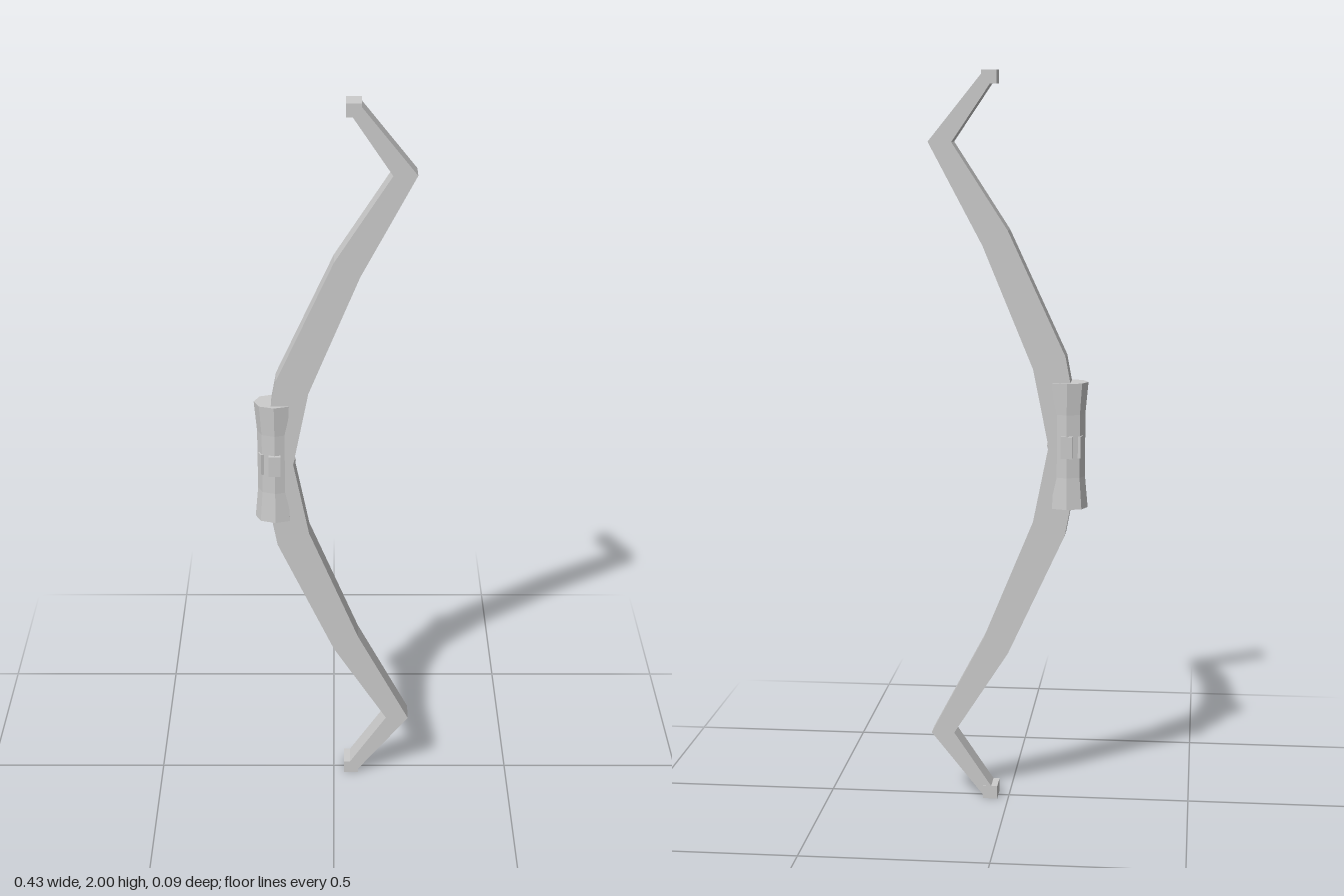
import * as THREE from 'three';

const material = new THREE.MeshStandardMaterial({ color: 0xcccccc, flatShading: true });

function add(group, name, geometry, x = 0, y = 0, z = 0) {
  const mesh = new THREE.Mesh(geometry, material);
  mesh.name = name;
  mesh.position.set(x, y, z);
  group.add(mesh);
  return mesh;
}

const toShape = (points) => new THREE.Shape(points.map(([x, y]) => new THREE.Vector2(x, y)));
const mirrorY = (points, axis) => points.map(([x, y]) => [x, 2 * axis - y]).reverse();

export function createModel() {
  const bow = new THREE.Group();
  bow.name = 'bow';

  // Recurved stave: upper half outline, mirrored about mid height
  const inner = [[-0.11, 1], [-0.068, 1.21], [0.068, 1.54], [0.213, 1.813], [0.07, 1.99]];
  const outer = [[0.045, 1.967], [0.15, 1.812], [0, 1.58], [-0.155, 1.245], [-0.17, 1.165]];
  const upper = [...inner, ...outer];
  const stave = new THREE.ExtrudeGeometry(toShape([...upper, ...mirrorY(upper.slice(1), 1)]), {
    depth: 0.064, bevelEnabled: false,
  });
  add(bow, 'stave', stave, 0, 0, -0.032);

  // String nocks at both tips
  for (const [name, y] of [['upperNock', 1.982], ['lowerNock', 0.018]]) {
    add(bow, name, new THREE.BoxGeometry(0.04, 0.036, 0.066), 0.05, y, 0);
  }

  // Faceted grip, slimmer between its flared ends
  const side = [[-0.215, 0], [-0.2, 0.033], [-0.16, 0.046], [-0.12, 0.034]];
  const grip = new THREE.ExtrudeGeometry(toShape([...side, ...mirrorY(side.slice(1), 0)]), {
    depth: 0.344, steps: 8, bevelEnabled: false,
  });
  grip.rotateX(-Math.PI / 2);
  const p = grip.attributes.position;
  for (let i = 0; i < p.count; i++) {
    const t = Math.abs(p.getY(i) / 0.172 - 1);
    const s = 0.87 + 0.13 * Math.max(0, t - 0.5) * 2;
    p.setX(i, -0.155 + (p.getX(i) + 0.155) * s);
    p.setZ(i, p.getZ(i) * s);
  }
  grip.computeVertexNormals();
  add(bow, 'grip', grip, 0, 0.83, 0);

  // Small studs around the middle of the grip
  for (const s of [1, -1]) {
    add(bow, 'sideStud', new THREE.BoxGeometry(0.032, 0.06, 0.012), -0.16, 1, s * 0.04);
    const corner = add(bow, 'cornerStud', new THREE.BoxGeometry(0.012, 0.06, 0.02), -0.195, 1, s * 0.022);
    corner.rotation.y = s * 0.4;
  }
  const rivet = new THREE.OctahedronGeometry(1).scale(0.008, 0.03, 0.006);
  add(bow, 'innerRivet', rivet, -0.111, 1, 0);

  return bow;
}
